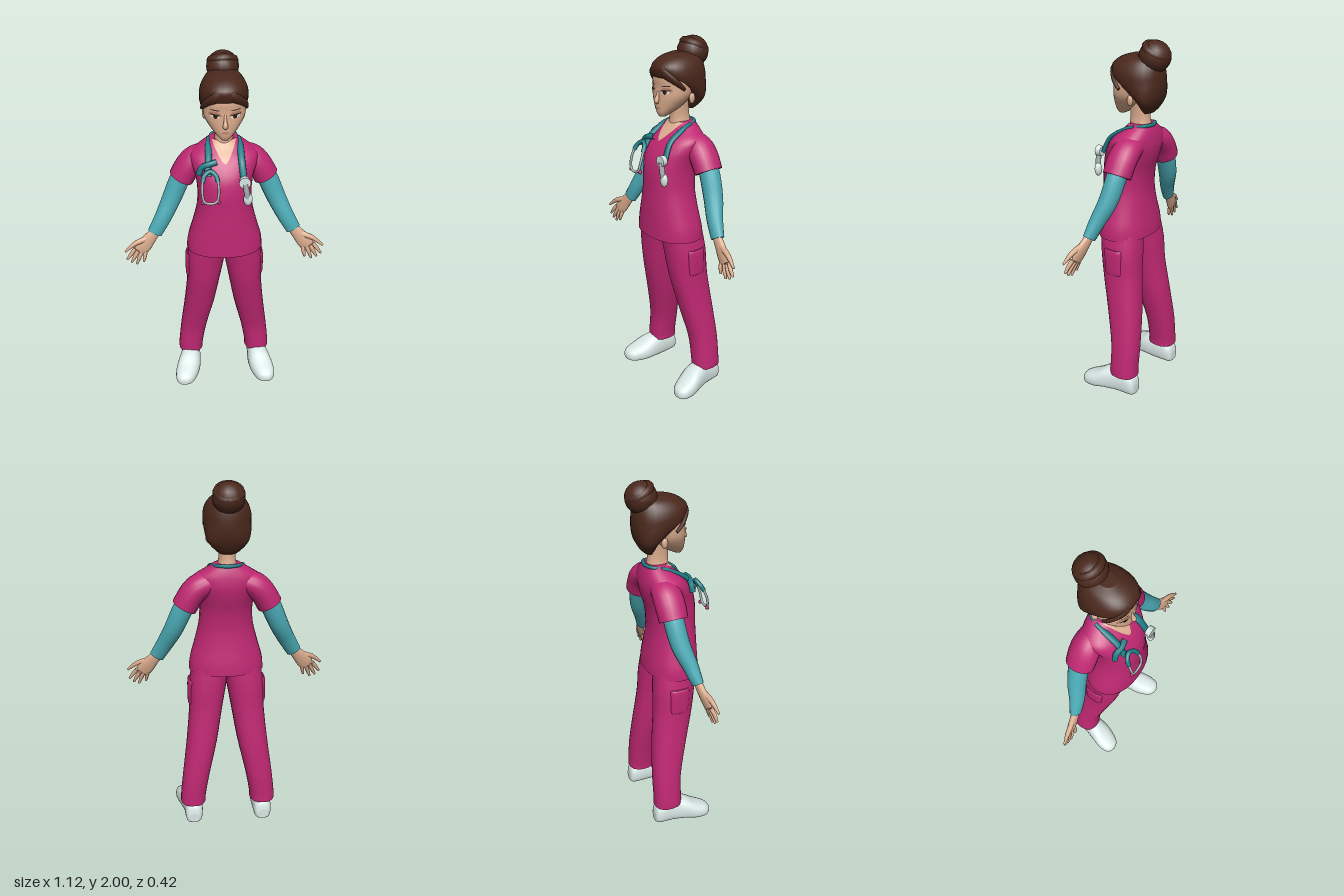
import * as THREE from 'three';

const mat = (name, color, side = THREE.FrontSide) => {
  const m = new THREE.MeshStandardMaterial({ color, side });
  m.name = name;
  return m;
};
const V = (x, y, z) => new THREE.Vector3(x, y, z);

// Smoothly resample rows of numbers (Catmull-Rom between rows)
function resample(rows, sub = 4) {
  const out = [], n = rows.length;
  for (let i = 0; i < n - 1; i++) {
    const [a, b, c, d] = [rows[Math.max(i - 1, 0)], rows[i], rows[i + 1], rows[Math.min(i + 2, n - 1)]];
    for (let k = 0; k < sub; k++) {
      const t = k / sub;
      out.push(b.map((_, j) => b[j] + 0.5 * t * (c[j] - a[j] + t * (2 * a[j] - 5 * b[j] + 4 * c[j] - d[j] + t * (3 * (b[j] - c[j]) + d[j] - a[j])))));
    }
  }
  out.push(rows[n - 1]);
  return out;
}

// Closed skin over a list of rings, with flat end caps facing outward
function skin(rings) {
  const n = rings[0].length, pts = rings.flat(), idx = [];
  for (let i = 0; i < rings.length - 1; i++) for (let j = 0; j < n; j++) {
    const a = i * n + j, b = i * n + (j + 1) % n;
    idx.push(a, a + n, b, b, a + n, b + n);
  }
  [[rings[0], 0], [rings[rings.length - 1], 1]].forEach(([ring, end]) => {
    const s = pts.length;
    const mid = ring.reduce((m, p) => m.add(p), V(0, 0, 0)).divideScalar(n);
    pts.push(...ring, mid);
    for (let j = 0; j < n; j++) {
      const a = s + j, b = s + (j + 1) % n;
      idx.push(...(end ? [a, s + n, b] : [a, b, s + n]));
    }
  });
  let vol = 0;
  for (let i = 0; i < idx.length; i += 3) vol += pts[idx[i]].dot(pts[idx[i + 1]].clone().cross(pts[idx[i + 2]]));
  if (vol < 0) idx.reverse();
  const g = new THREE.BufferGeometry().setFromPoints(pts);
  g.setIndex(idx);
  g.computeVertexNormals();
  return g;
}

const pow = (c, p) => Math.sign(c) * Math.abs(c) ** (2 / p);
const ringOf = (n, f) => Array.from({ length: n }, (_, j) => f(Math.cos(j / n * 2 * Math.PI), Math.sin(j / n * 2 * Math.PI)));

// Upright loft; rows are [y, xMin, xMax, zMin, zMax]
const loftY = (rows, s = 1, p = 2.2, n = 28) => skin(resample(rows).map(([y, x0, x1, z0, z1]) => ringOf(n, (c, q) =>
  V(s * ((x0 + x1) / 2 + (x1 - x0) / 2 * pow(c, p)), y, (z0 + z1) / 2 + (z1 - z0) / 2 * pow(q, p)))));

// Lengthwise loft with a flat underside; rows are [z, xMin, xMax, yMin, yMax]
const loftZ = (rows, s = 1, n = 24) => skin(resample(rows).map(([z, x0, x1, y0, y1]) => ringOf(n, (c, q) =>
  V(s * ((x0 + x1) / 2 + (x1 - x0) / 2 * pow(c, 2.4)), Math.max(0, (y0 + y1) / 2 + (y1 - y0) / 2 * pow(q, 2.4)), z))));

// Limb along a path; rows are [x, y, z, half width, half depth]
function limb(rows, s = 1, n = 16, sub = 4) {
  const r = resample(rows, sub);
  return skin(r.map(([x, y, z, w, d], i) => {
    const a = r[Math.max(i - 1, 0)], b = r[Math.min(i + 1, r.length - 1)];
    const dir = V(b[0] - a[0], b[1] - a[1], b[2] - a[2]).normalize();
    const u = dir.clone().cross(V(0, 0, 1)).normalize(), v = u.clone().cross(dir);
    return ringOf(n, (c, q) => {
      const o = V(x, y, z).addScaledVector(u, w * c).addScaledVector(v, d * q);
      o.x *= s;
      return o;
    });
  }));
}

const sym = rows => rows.map(([y, h, z0, z1]) => [y, -h, h, z0, z1]);

// Depth of a loft's front surface at x, y
function frontZ(rows, x, y, p = 2.2) {
  const r = resample(rows);
  let i = 0;
  while (i < r.length - 2 && r[i + 1][0] < y) i++;
  const t = (y - r[i][0]) / (r[i + 1][0] - r[i][0]);
  const [, , h, z0, z1] = r[i].map((v, j) => v + (r[i + 1][j] - v) * t);
  return (z0 + z1) / 2 + (z1 - z0) / 2 * Math.max(0, 1 - Math.abs(x / h) ** p) ** (1 / p);
}

// Thin oval lying on a loft's front surface
function oval(rows, cx, cy, w, h, lift, tilt = 0) {
  const g = new THREE.CircleGeometry(1, 20).scale(w, h, 1).rotateZ(tilt).translate(cx, cy, 0);
  const a = g.attributes.position;
  for (let i = 0; i < a.count; i++) a.setZ(i, frontZ(rows, a.getX(i), a.getY(i)) + lift);
  g.computeVertexNormals();
  return g;
}

const tube = (pts, r, seg = 40) => new THREE.TubeGeometry(new THREE.CatmullRomCurve3(pts), seg, r, 8);

export function createModel() {
  const root = new THREE.Group();
  root.name = 'nurse';
  const scrubs = mat('magenta scrubs', 0xbf2872), sleeve = mat('teal sleeve', 0x4baab5);
  const hose = mat('dark teal hose', 0x1d7c85), hair = mat('brown hair', 0x4a281c);
  const skinM = mat('skin', 0xdaab8d, THREE.DoubleSide), shoe = mat('pale shoe', 0xdae8e5);
  const metal = mat('grey metal', 0xa9b3b5), dark = mat('dark eye', 0x2a1a16);
  const white = mat('eye white', 0xe6ddd6), blush = mat('lip and eyelid', 0xba8269);
  const add = (name, geo, m) => {
    const mesh = new THREE.Mesh(geo, m);
    mesh.name = name;
    root.add(mesh);
    return mesh;
  };

  // Tunic
  const torso = sym([[0.935, 0.211, -0.12, 0.173], [1.0, 0.204, -0.115, 0.172], [1.1, 0.176, -0.101, 0.17],
    [1.2, 0.152, -0.094, 0.167], [1.3, 0.146, -0.104, 0.166], [1.38, 0.156, -0.125, 0.152], [1.44, 0.175, -0.135, 0.122],
    [1.49, 0.176, -0.132, 0.083], [1.53, 0.125, -0.124, 0.038], [1.566, 0.07, -0.112, 0.005]]);
  add('tunic', loftY(torso), scrubs);
  const on = (x, y, lift) => V(x, y, frontZ(torso, x, y) + lift);

  // V neckline, following the chest
  const vee = new THREE.PlaneGeometry(2, 1, 10, 12), vp = vee.attributes.position;
  for (let i = 0; i < vp.count; i++) {
    const t = vp.getY(i) + 0.5, p = on(vp.getX(i) * 0.064 * t ** 0.7, 1.472 + 0.093 * t, 0.005);
    vp.setXYZ(i, p.x, p.y, p.z);
  }
  vee.computeVertexNormals();
  add('neckline', vee, skinM);

  // Neck and head
  add('neck', loftY(sym([[1.5, 0.065, -0.1, 0.02], [1.55, 0.053, -0.1, 0.02], [1.59, 0.045, -0.093, 0.017], [1.64, 0.045, -0.09, 0.02], [1.7, 0.05, -0.09, 0.03]])), skinM);
  const face = sym([[1.603, 0.018, 0.06, 0.095], [1.625, 0.042, 0.015, 0.105], [1.66, 0.073, -0.04, 0.108], [1.71, 0.104, -0.08, 0.107],
    [1.76, 0.112, -0.1, 0.104], [1.81, 0.11, -0.1, 0.105], [1.87, 0.09, -0.09, 0.08]]);
  add('face', loftY(face), skinM);
  add('nose', limb([[0, 1.745, 0.1, 0.006, 0.006], [0, 1.71, 0.11, 0.009, 0.01], [0, 1.688, 0.117, 0.014, 0.013], [0, 1.678, 0.109, 0.008, 0.007]], 1, 12), skinM);
  add('lips', oval(face, 0, 1.65, 0.02, 0.006, 0.003), blush);

  // Hair and bun
  add('hair', loftY(sym([[1.625, 0.04, -0.112, -0.075], [1.645, 0.065, -0.132, -0.066], [1.68, 0.097, -0.152, -0.055], [1.71, 0.113, -0.164, -0.03],
    [1.75, 0.122, -0.172, 0.03], [1.79, 0.126, -0.174, 0.092], [1.83, 0.124, -0.172, 0.114], [1.87, 0.11, -0.165, 0.114],
    [1.905, 0.082, -0.15, 0.07], [1.925, 0.04, -0.11, 0.01]])), hair);
  add('bun', new THREE.SphereGeometry(0.084, 18, 12).scale(1, 0.98, 1).translate(0, 1.917, -0.125), hair);
  add('bunTwist', new THREE.TorusGeometry(0.058, 0.024, 8, 24).rotateX(Math.PI / 2 - 0.5).translate(0, 1.945, -0.135), hair);

  for (const s of [1, -1]) {
    const side = s > 0 ? 'left' : 'right';

    // Face details
    add(side + 'Ear', new THREE.SphereGeometry(1, 12, 8).scale(0.012, 0.028, 0.018).translate(s * 0.1, 1.698, -0.04), skinM);
    add(side + 'Eyelid', oval(face, s * 0.052, 1.745, 0.033, 0.017, 0.0015, s * 0.12), blush);
    add(side + 'EyeWhite', oval(face, s * 0.05, 1.738, 0.024, 0.01, 0.003, s * 0.12), white);
    add(side + 'Iris', oval(face, s * 0.049, 1.738, 0.011, 0.011, 0.0045), dark);
    add(side + 'Lash', oval(face, s * 0.052, 1.747, 0.027, 0.004, 0.006, s * 0.1), dark);
    add(side + 'Brow', oval(face, s * 0.052, 1.77, 0.027, 0.003, 0.003, s * 0.08), hair);
    add(side + 'Fringe', limb([[0.005, 1.865, 0.103, 0.015, 0.01], [0.05, 1.832, 0.098, 0.026, 0.014],
      [0.094, 1.79, 0.06, 0.022, 0.013], [0.113, 1.752, 0.02, 0.01, 0.008]], s, 12), hair);

    // Short sleeve, long undersleeve
    add(side + 'ShortSleeve', limb([[0.08, 1.465, -0.053, 0.06, 0.065], [0.145, 1.441, -0.052, 0.07, 0.078],
      [0.19, 1.398, -0.05, 0.07, 0.081], [0.23, 1.329, -0.048, 0.07, 0.078]], s, 20), scrubs);
    add(side + 'Undersleeve', limb([[0.2, 1.395, -0.05, 0.052, 0.052], [0.242, 1.31, -0.048, 0.056, 0.054], [0.29, 1.2, -0.032, 0.053, 0.051],
      [0.341, 1.1, 0, 0.047, 0.041], [0.388, 1.018, 0.02, 0.042, 0.03]], s), sleeve);

    // Open hand, palm forward and thumb outward
    add(side + 'Palm', limb([[0.38, 1.03, 0.02, 0.028, 0.02], [0.415, 0.99, 0.028, 0.036, 0.02],
      [0.455, 0.942, 0.038, 0.044, 0.017], [0.477, 0.914, 0.043, 0.036, 0.012]], s), skinM);
    [[0.503, 0.93, 0.55, 0.868], [0.487, 0.915, 0.527, 0.846], [0.468, 0.908, 0.497, 0.836], [0.445, 0.91, 0.457, 0.85]].forEach(([x, y, tx, ty], i) =>
      add(side + 'Finger' + (i + 1), limb([[x, y, 0.042, 0.012, 0.012], [(x + tx) / 2, (y + ty) / 2, 0.052, 0.011, 0.011], [tx, ty, 0.056, 0.006, 0.006]], s, 8, 3), skinM));
    add(side + 'Thumb', limb([[0.43, 0.99, 0.032, 0.018, 0.016], [0.5, 0.967, 0.047, 0.014, 0.014], [0.557, 0.922, 0.06, 0.006, 0.006]], s, 8, 3), skinM);

    // Trouser leg and cargo pocket
    add(side + 'TrouserLeg', loftY([[0.112, 0.133, 0.28, -0.153, 0.009], [0.16, 0.13, 0.278, -0.151, 0.01], [0.3, 0.105, 0.262, -0.15, 0.016],
      [0.5, 0.06, 0.236, -0.136, 0.06], [0.7, 0.026, 0.216, -0.115, 0.105], [0.85, 0, 0.212, -0.108, 0.125], [0.98, -0.02, 0.19, -0.095, 0.14]], s, 2.3), scrubs);
    add(side + 'CargoPocket', loftY([[0.73, 0.17, 0.216, -0.045, 0.05], [0.75, 0.15, 0.223, -0.052, 0.058],
      [0.86, 0.14, 0.222, -0.052, 0.066], [0.88, 0.15, 0.214, -0.045, 0.06]], s, 3), scrubs);

    // Shoe with a rounded toe
    add(side + 'Shoe', loftZ([[-0.155, 0.18, 0.235, 0, 0.06], [-0.135, 0.157, 0.255, -0.02, 0.112], [-0.05, 0.15, 0.265, -0.025, 0.14],
      [0.03, 0.15, 0.288, -0.025, 0.125], [0.09, 0.163, 0.304, -0.025, 0.092], [0.145, 0.188, 0.303, -0.02, 0.067],
      [0.172, 0.212, 0.285, -0.01, 0.05], [0.182, 0.24, 0.262, 0.01, 0.03]], s), shoe);
  }

  // Stethoscope hose: thin round the nape, flat bands down the chest
  add('hoseCollar', tube([V(0.075, 1.55, -0.045), V(0.06, 1.56, -0.09), V(0, 1.561, -0.113), V(-0.06, 1.56, -0.09), V(-0.075, 1.55, -0.045)], 0.01), hose);
  const band = (s, end) => limb([V(0.074, 1.552, -0.05), V(0.083, 1.532, 0.012), on(0.086, 1.49, 0.011), on(0.09, 1.45, 0.012), end]
    .map(p => [p.x, p.y, p.z, 0.018, 0.012]), s, 12);
  add('leftHoseBand', band(1, on(0.096, 1.395, 0.012)), hose);
  add('rightHoseBand', band(-1, on(0.09, 1.42, 0.014)), hose);
  add('hoseFold', tube([on(-0.045, 1.485, 0.014), on(-0.08, 1.478, 0.022), on(-0.122, 1.458, 0.02), on(-0.138, 1.42, 0.02)], 0.016, 20), hose);

  // Binaural yoke, metal arms joined by a spring, and ear tips
  add('binauralYoke', tube([V(-0.121, 1.41, 0.178), V(-0.11, 1.44, 0.16), V(-0.08, 1.458, 0.148), V(-0.052, 1.44, 0.16), V(-0.041, 1.41, 0.178)], 0.012, 24), hose);
  add('binauralArms', tube([V(-0.121, 1.415, 0.176), V(-0.124, 1.36, 0.197), V(-0.112, 1.31, 0.205), V(-0.081, 1.3, 0.207),
    V(-0.05, 1.31, 0.205), V(-0.038, 1.36, 0.197), V(-0.041, 1.415, 0.176)], 0.007, 40), metal);
  for (const x of [-0.122, -0.04]) add('earTip', new THREE.SphereGeometry(0.011, 10, 8).translate(x, 1.305, 0.2), scrubs);

  // Chest piece
  add('chestPieceDisc', new THREE.CylinderGeometry(0.031, 0.027, 0.03, 16).rotateX(Math.PI / 2).translate(0.098, 1.396, 0.158), shoe);
  add('chestPieceStem', tube([V(0.1, 1.39, 0.164), V(0.108, 1.34, 0.166), V(0.117, 1.285, 0.162)], 0.015, 12), metal);
  add('chestPieceBell', new THREE.SphereGeometry(0.027, 14, 10).scale(0.9, 1.4, 0.7).translate(0.116, 1.295, 0.16), shoe);

  return root;
}
